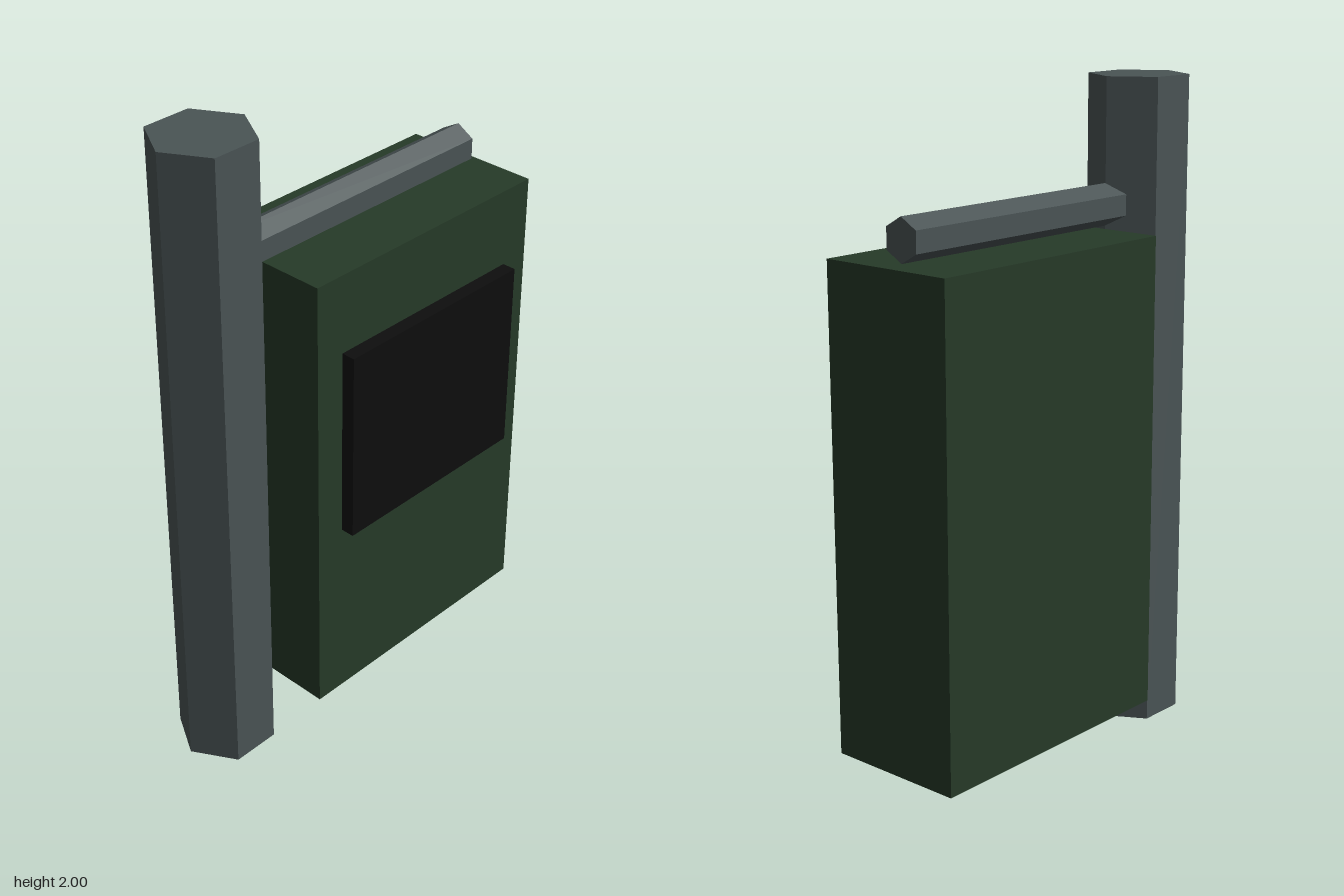
import * as THREE from 'three';

const material = (name, color) => {
  const m = new THREE.MeshStandardMaterial({ color });
  m.name = name;
  return m;
};

export function createModel() {
  const model = new THREE.Group();
  model.name = 'hangingSign';
  const metal = material('grey metal', 0x4a5455);
  const green = material('dark green', 0x263a28);
  const black = material('black', 0x0e0e0e);

  const add = (name, geometry, mat, x, y, z) => {
    const mesh = new THREE.Mesh(geometry, mat);
    mesh.name = name;
    mesh.position.set(x, y, z);
    model.add(mesh);
  };
  // Flat-sided hexagonal bar along y, with corners on the x axis
  const hexBar = (radius, length) =>
    new THREE.CylinderGeometry(radius, radius, length, 6).rotateY(Math.PI / 6).toNonIndexed();
  const flat = (geometry) => {
    geometry.computeVertexNormals();
    return geometry;
  };

  // Upright post
  add('post', flat(hexBar(0.15, 2)), metal, -0.457, 1, -0.022);

  // Horizontal arm, starting inside the post
  add('arm', flat(hexBar(0.063, 0.98).rotateZ(Math.PI / 2)), metal, 0.05, 1.628, -0.021);

  // Hanging board
  add('board', new THREE.BoxGeometry(0.875, 1.438, 0.435), green, 0.168, 0.844, -0.022);

  // Raised panel on the front
  add('frontPanel', new THREE.BoxGeometry(0.684, 0.6, 0.06), black, 0.168, 1.02, 0.208);

  return model;
}
